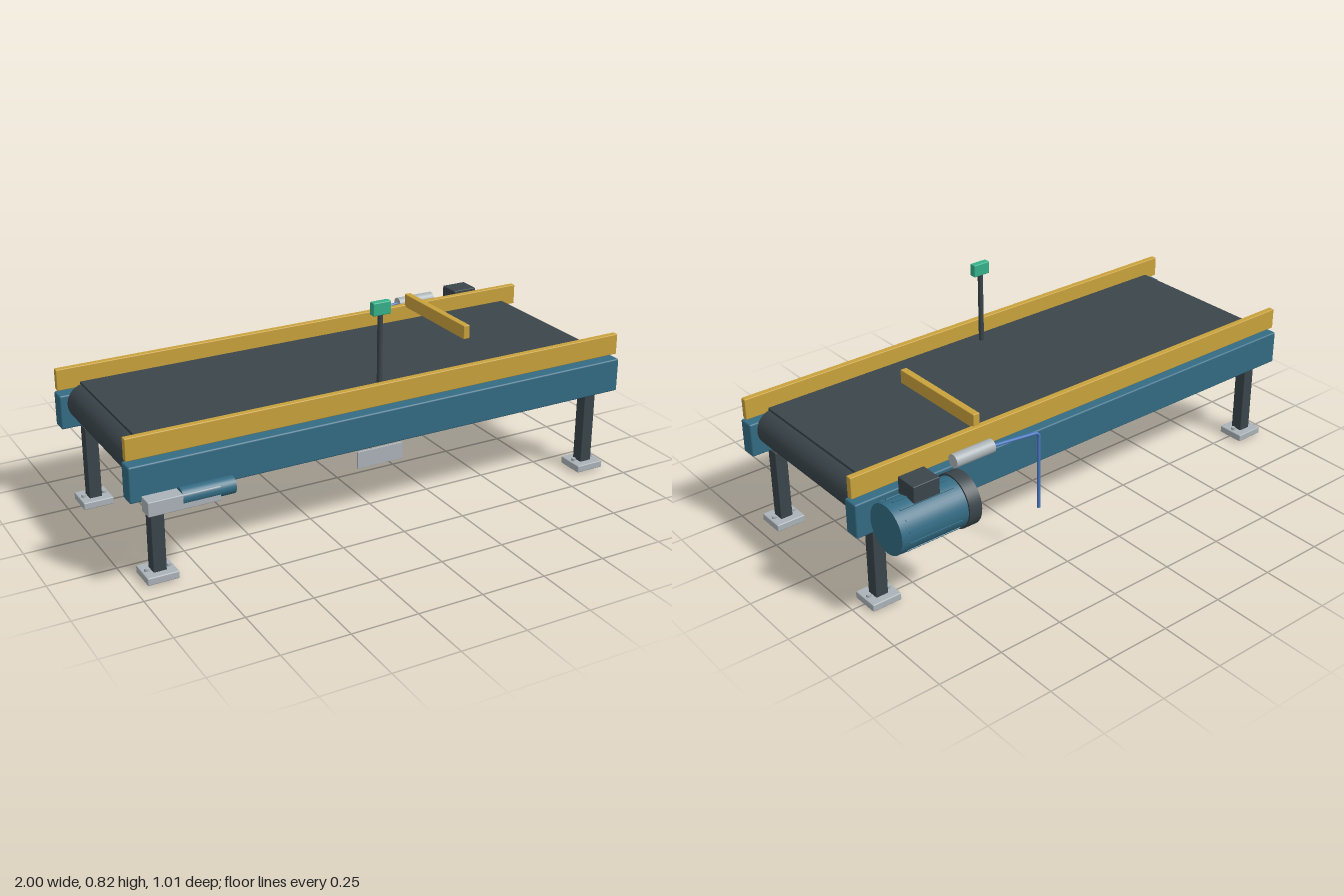
import * as THREE from 'three';
import { RoundedBoxGeometry } from 'three/addons/geometries/RoundedBoxGeometry.js';

const mat = (name, color) => {
  const m = new THREE.MeshStandardMaterial({ color });
  m.name = name;
  return m;
};

export function createModel() {
  const model = new THREE.Group();
  model.name = 'beltConveyor';

  const teal = mat('teal paint', 0x336b83);
  const dark = mat('charcoal', 0x3a454a);
  const yellow = mat('safety yellow', 0xc9a23c);
  const silver = mat('light steel', 0xabb3b8);
  const green = mat('sensor green', 0x35b08a);
  const blue = mat('cable blue', 0x4a78c0);

  const add = (name, geometry, material, x, y, z, parent = model) => {
    const mesh = new THREE.Mesh(geometry, material);
    mesh.name = name;
    mesh.position.set(x, y, z);
    parent.add(mesh);
    return mesh;
  };

  // Box given by its extents on each axis, with softly rounded edges
  const box = (name, material, [x0, x1], [y0, y1], [z0, z1], r = 0.004, parent = model) => {
    const w = x1 - x0, h = y1 - y0, d = z1 - z0;
    const g = r > 0 ? new RoundedBoxGeometry(w, h, d, 2, r) : new THREE.BoxGeometry(w, h, d);
    return add(name, g, material, (x0 + x1) / 2, (y0 + y1) / 2, (z0 + z1) / 2, parent);
  };

  // Cylinder lying along x
  const rodX = (name, material, r, [x0, x1], y, z, sides = 40, parent = model) =>
    add(name, new THREE.CylinderGeometry(r, r, x1 - x0, sides).rotateZ(Math.PI / 2),
      material, (x0 + x1) / 2, y, z, parent);

  // Side rails and guard rails
  for (const [side, z0, z1, g0, g1] of [
    ['front', 0.36, 0.422, 0.379, 0.403],
    ['back', -0.314, -0.252, -0.296, -0.272],
  ]) {
    box(side + 'SideRail', teal, [-1, 1], [0.32, 0.451], [z0, z1], 0.006);
    box(side + 'GuardRail', yellow, [-1, 1], [0.465, 0.546], [g0, g1], 0.003);
  }

  // Upper and lower belt runs with an open gap between, and end drums
  box('upperBelt', dark, [-0.92, 0.92], [0.485, 0.495], [-0.25, 0.36], 0);
  box('lowerBelt', dark, [-0.92, 0.92], [0.335, 0.343], [-0.25, 0.36], 0);
  for (const s of [-1, 1]) {
    const drum = new THREE.CylinderGeometry(0.072, 0.072, 0.614, 48).rotateX(Math.PI / 2);
    add(s < 0 ? 'rightDrum' : 'leftDrum', drum, dark, s * 0.9, 0.414, 0.055);
  }

  // Legs with foot plates and anchor bolts
  for (const x of [-0.896, 0.896]) {
    for (const z of [0.368, -0.258]) {
      const leg = new THREE.Group();
      leg.name = 'leg';
      leg.position.set(x, 0, z);
      model.add(leg);
      box('legPost', dark, [-0.024, 0.024], [0, 0.313], [-0.024, 0.024], 0.002, leg);
      box('footPlate', silver, [-0.058, 0.058], [0.003, 0.031], [-0.054, 0.054], 0.004, leg);
      for (const bx of [-0.04, 0.04]) {
        add('footBolt', new THREE.CylinderGeometry(0.009, 0.009, 0.012, 12), silver, bx, 0.035, 0, leg);
      }
    }
  }

  // Drive motor with cooling fins, end cap and terminal box
  const motor = new THREE.Group();
  motor.name = 'driveMotor';
  motor.position.set(0, 0.384, -0.406);
  model.add(motor);
  rodX('motorBody', teal, 0.091, [0.67, 0.945], 0, 0, 48, motor);
  rodX('motorCap', dark, 0.098, [0.63, 0.68], 0, 0, 48, motor);
  for (let i = 0; i < 14; i++) {
    const a = (i / 14) * Math.PI * 2;
    const fin = add('coolingFin', new THREE.BoxGeometry(0.21, 0.008, 0.006), teal,
      0.81, Math.cos(a) * 0.09, Math.sin(a) * 0.09, motor);
    fin.rotation.x = a;
  }
  box('terminalBox', dark, [0.757, 0.861], [0.06, 0.146], [-0.042, 0.046], 0.003, motor);

  // Photo sensor barrel behind the guard with its hanging cable
  rodX('sensorBarrel', silver, 0.025, [0.49, 0.652], 0.515, -0.378, 32);
  const cable = new THREE.CurvePath();
  const points = [[0.495, 0.515, -0.382], [0.3, 0.497, -0.386], [0.29, 0.485, -0.386], [0.29, 0.19, -0.386]]
    .map((p) => new THREE.Vector3(...p));
  for (let i = 1; i < points.length; i++) cable.add(new THREE.LineCurve3(points[i - 1], points[i]));
  add('sensorCable', new THREE.TubeGeometry(cable, 60, 0.006, 10), blue, 0, 0, 0);

  // Diverter bar across the belt
  box('diverterBar', yellow, [0.465, 0.492], [0.537, 0.591], [-0.282, 0.15], 0.003);

  // Sensor mast with green head
  add('sensorMast', new THREE.CylinderGeometry(0.01, 0.01, 0.335, 20), dark, 0, 0.6125, 0.312);
  box('sensorHead', green, [-0.036, 0.036], [0.77, 0.819], [0.3, 0.327], 0.004);

  // Plate hanging under the belt
  box('underPlate', silver, [-0.096, 0.092], [0.199, 0.264], [0.32, 0.328], 0.001);

  // Belt tensioner on the front rail
  box('tensionerBlock', silver, [-0.968, -0.71], [0.3, 0.353], [0.442, 0.5], 0.003);
  rodX('tensionerCylinder', teal, 0.031, [-0.845, -0.655], 0.335, 0.472, 32);

  return model;
}
